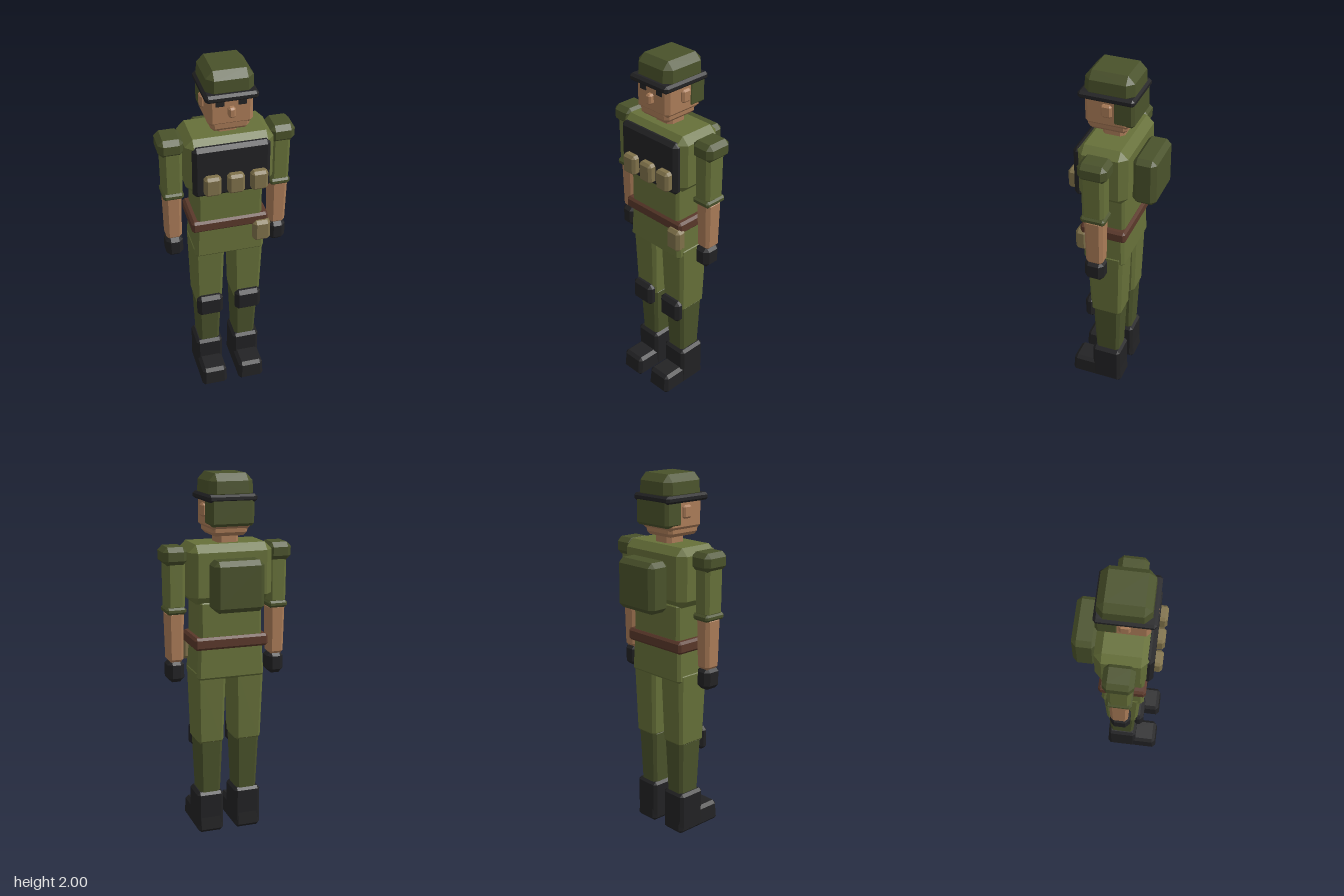
import * as THREE from 'three';
import { ConvexGeometry } from 'three/addons/geometries/ConvexGeometry.js';

const mat = (name, color) => {
  const m = new THREE.MeshStandardMaterial({ color });
  m.name = name;
  return m;
};

// Box with chamfered edges, given as [min, max] per axis.
// c is the chamfer (number or [x, y, z]); bottom and top scale the ends in x and z.
function chamferBox([x0, x1], [y0, y1], [z0, z1], c, bottom = 1, top = 1) {
  const h = new THREE.Vector3((x1 - x0) / 2, (y1 - y0) / 2, (z1 - z0) / 2);
  const [cx, cy, cz] = Array.isArray(c) ? c : [c, c, c];
  const pts = [];
  for (const sx of [-1, 1]) for (const sy of [-1, 1]) for (const sz of [-1, 1]) {
    for (const [a, b, d] of [[0, cy, cz], [cx, 0, cz], [cx, cy, 0]]) {
      const p = new THREE.Vector3(sx * (h.x - a), sy * (h.y - b), sz * (h.z - d));
      const k = THREE.MathUtils.lerp(bottom, top, (p.y / h.y + 1) / 2);
      p.x *= k;
      p.z *= k;
      pts.push(p);
    }
  }
  const g = new ConvexGeometry(pts);
  g.translate((x0 + x1) / 2, (y0 + y1) / 2, (z0 + z1) / 2);
  return g;
}

export function createModel() {
  const olive = mat('olive cloth', 0x667039);
  const green = mat('dark green cloth', 0x4a522b);
  const skin = mat('skin', 0xab7c58);
  const black = mat('black', 0x222224);
  const brown = mat('brown leather', 0x5a382a);
  const tan = mat('tan canvas', 0x7f714a);

  const root = new THREE.Group();
  root.name = 'soldier';
  const group = (name) => {
    const g = new THREE.Group();
    g.name = name;
    root.add(g);
    return g;
  };
  const add = (parent, name, material, ...args) => {
    const m = new THREE.Mesh(chamferBox(...args), material);
    m.name = name;
    parent.add(m);
  };

  // Head and cap
  const head = group('head');
  add(head, 'neck', skin, [-0.06, 0.06], [1.6, 1.7], [-0.04, 0.08], 0.02);
  add(head, 'skull', skin, [-0.115, 0.115], [1.71, 1.88], [-0.085, 0.15], 0.02);
  add(head, 'jaw', skin, [-0.105, 0.105], [1.675, 1.77], [-0.075, 0.148], 0.02, 0.93, 1);
  add(head, 'nose', skin, [-0.018, 0.018], [1.765, 1.82], [0.14, 0.178], 0.009);
  add(head, 'hair', green, [-0.12, 0.12], [1.73, 1.88], [-0.115, 0], 0.015);
  add(head, 'capBrim', black, [-0.134, 0.134], [1.855, 1.895], [-0.12, 0.178], [0.014, 0.012, 0.014]);
  add(head, 'capCrown', green, [-0.124, 0.124], [1.86, 2], [-0.112, 0.156], [0.036, 0.038, 0.036], 1, 0.95);

  // Torso, vest and pack
  const torso = group('torso');
  add(torso, 'chest', olive, [-0.23, 0.23], [1.325, 1.64], [-0.114, 0.16], 0.04);
  add(torso, 'waist', olive, [-0.175, 0.175], [1.1, 1.34], [-0.087, 0.14], 0.015);
  add(torso, 'hips', olive, [-0.185, 0.185], [0.905, 1.11], [-0.087, 0.14], 0.015, 1.03, 0.97);
  add(torso, 'belt', brown, [-0.207, 0.207], [1.077, 1.145], [-0.102, 0.152], 0.013);
  add(torso, 'beltPouch', tan, [0.122, 0.216], [0.98, 1.107], [0.11, 0.178], 0.017);
  add(torso, 'vestPlate', black, [-0.202, 0.202], [1.322, 1.612], [0.13, 0.182], 0.02);
  for (const x of [-0.108, 0.014, 0.136])
    add(torso, 'chestPouch', tan, [x - 0.044, x + 0.044], [1.347, 1.457], [0.165, 0.222], 0.014);
  add(torso, 'backpack', green, [-0.137, 0.137], [1.3, 1.57], [-0.238, -0.108], 0.026);

  // Mirrored parts
  for (const s of [1, -1]) {
    const side = s > 0 ? 'left' : 'right';
    const mx = (a, b) => (s > 0 ? [a, b] : [-b, -a]);

    add(head, side + 'Ear', skin, mx(0.1, 0.132), [1.772, 1.842], [0, 0.057], 0.01);
    add(head, side + 'Eye', black, mx(0.035, 0.078), [1.822, 1.858], [0.146, 0.153], 0.002);

    const arm = group(side + 'Arm');
    add(arm, 'shoulder', green, mx(0.224, 0.357), [1.53, 1.627], [-0.057, 0.1], 0.025);
    add(arm, 'sleeve', olive, mx(0.234, 0.338), [1.29, 1.56], [-0.036, 0.087], 0.018, 0.96, 1);
    add(arm, 'cuff', green, mx(0.232, 0.342), [1.268, 1.306], [-0.042, 0.092], 0.012);
    add(arm, 'forearm', skin, mx(0.24, 0.335), [1, 1.285], [-0.028, 0.078], 0.018, 0.88, 1);
    add(arm, 'glove', black, mx(0.24, 0.333), [0.89, 1.012], [-0.025, 0.083], 0.024);

    const leg = group(side + 'Leg');
    add(leg, 'thigh', olive, mx(0.023, 0.193), [0.532, 0.96], [-0.08, 0.125], 0.018, 0.86, 1);
    add(leg, 'shin', green, mx(0.036, 0.176), [0.22, 0.56], [-0.06, 0.103], 0.018, 0.82, 1);
    add(leg, 'kneePad', black, mx(0.036, 0.182), [0.473, 0.607], [0.09, 0.147], 0.02);
    add(leg, 'bootShaft', black, mx(0.033, 0.185), [0.01, 0.243], [-0.06, 0.106], 0.016);
    add(leg, 'bootFoot', black, mx(0.034, 0.184), [0.003, 0.123], [-0.068, 0.237], 0.018, 1, 0.93);
  }
  return root;
}
